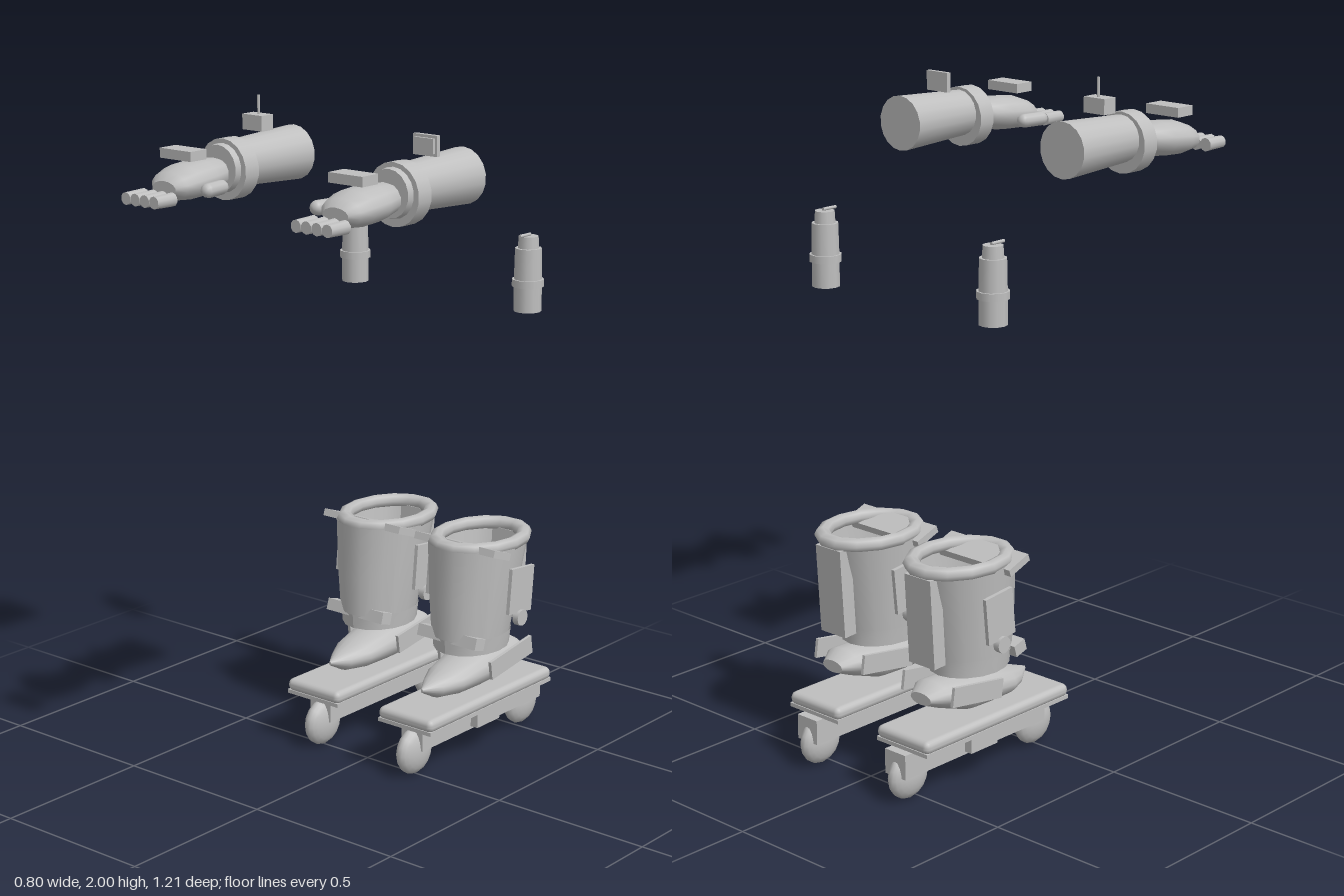
import * as THREE from 'three';
import { RoundedBoxGeometry } from 'three/addons/geometries/RoundedBoxGeometry.js';

const grey = new THREE.MeshStandardMaterial({ color: 0xbfbfbf, side: THREE.DoubleSide });
grey.name = 'plainGrey';

function add(parent, name, geometry, x = 0, y = 0, z = 0, rx = 0, ry = 0, rz = 0) {
  const mesh = new THREE.Mesh(geometry, grey);
  mesh.name = name;
  mesh.position.set(x, y, z);
  mesh.rotation.set(rx, ry, rz);
  parent.add(mesh);
  return mesh;
}

const box = (w, h, d) => new THREE.BoxGeometry(w, h, d);
const cyl = (top, bottom, h, n = 16) => new THREE.CylinderGeometry(top, bottom, h, n);

// Elliptical sections along y: [y, z centre, x radius, z radius], listed upward
function loft(rings, n = 16, open = false, start = 0, arc = Math.PI * 2) {
  const rows = rings.length - 1;
  const g = new THREE.CylinderGeometry(1, 1, 1, n, rows, open, start, arc);
  const p = g.attributes.position;
  for (let i = 0; i < p.count; i++) {
    const [y, c, a, b] = rings[Math.round((p.getY(i) + 0.5) * rows)];
    p.setXYZ(i, p.getX(i) * a, y, c + p.getZ(i) * b);
  }
  g.computeVertexNormals();
  return g;
}

// s is +1 for the model's left, -1 for its right
function makeBoot(s) {
  const boot = new THREE.Group();
  boot.name = s > 0 ? 'leftSkateBoot' : 'rightSkateBoot';
  boot.position.x = 0.18 * s;

  // Wheels, rail and deck
  for (const z of [0, -0.53]) {
    add(boot, 'wheel', new THREE.SphereGeometry(0.073, 16, 12).rotateZ(Math.PI / 2).scale(0.48, 1, 1), 0, 0.073, z);
  }
  add(boot, 'rail', box(0.08, 0.075, 0.59), 0, 0.118, -0.285);
  add(boot, 'motor', box(0.045, 0.045, 0.11), 0.043 * s, 0.112, -0.28);
  add(boot, 'lowerDeck', box(0.2, 0.012, 0.6), 0, 0.161, -0.253);
  add(boot, 'deck', new RoundedBoxGeometry(0.205, 0.04, 0.605, 2, 0.018), 0, 0.182, -0.253);

  // Shoe with a pointed toe and side plates
  add(boot, 'shoe', loft([
    [-0.475, -0.285, 0.04, 0.018], [-0.43, -0.288, 0.07, 0.04], [-0.32, -0.268, 0.083, 0.058],
    [-0.24, -0.265, 0.085, 0.056], [-0.15, -0.252, 0.072, 0.043], [-0.09, -0.245, 0.042, 0.03],
    [-0.036, -0.25, 0.004, 0.006],
  ], 16), 0, 0, 0, Math.PI / 2);
  for (const e of [-1, 1]) {
    add(boot, 'anklePlate', box(0.01, 0.058, 0.205), e * 0.098, 0.292, -0.345, 0.15);
  }

  // Shaft, shin shell, rim and spine
  add(boot, 'ankleBand', loft([[0.335, -0.275, 0.106, 0.128], [0.385, -0.276, 0.111, 0.133]], 16, true));
  const shaft = [[0.38, -0.276, 0.108, 0.13], [0.5, -0.287, 0.121, 0.146], [0.665, -0.308, 0.136, 0.168]];
  add(boot, 'shaft', loft(shaft, 16, true));
  add(boot, 'shinShell', loft(shaft.map(([y, c, a, b]) => [y, c, a + 0.004, b + 0.006]),
    8, true, -Math.PI / 3, Math.PI * 2 / 3));
  add(boot, 'rim', new THREE.TorusGeometry(0.12, 0.021, 8, 14).rotateX(Math.PI / 2).scale(1, 1, 1.28), 0, 0.667, -0.314);
  add(boot, 'spine', box(0.1, 0.27, 0.045), 0, 0.52, -0.455, -0.06);

  // Straps
  add(boot, 'upperStrap', box(0.3, 0.022, 0.085), 0, 0.657, -0.225, -0.35);
  add(boot, 'lowerStrap', box(0.22, 0.036, 0.045), 0, 0.382, -0.175, -0.3);

  // Side guards with knobs
  for (const e of [-1, 1]) {
    add(boot, 'sideGuard', box(0.012, 0.14, 0.11), e * 0.153, 0.53, -0.313, -0.1);
    add(boot, 'knob', cyl(0.025, 0.025, 0.02, 12), e * 0.158, 0.445, -0.307, 0, 0, Math.PI / 2);
  }
  return boot;
}

function makeGauntlet(s) {
  const arm = new THREE.Group();
  arm.name = s > 0 ? 'leftGauntlet' : 'rightGauntlet';
  arm.position.x = 0.313 * s;
  const along = Math.PI / 2;

  // Forearm and cuff
  add(arm, 'forearm', cyl(0.068, 0.081, 0.26, 18), 0, 1.815, 0.092, along);
  add(arm, 'cuff', cyl(0.089, 0.089, 0.055, 18), 0, 1.803, 0.24, along);
  add(arm, 'wrist', cyl(0.068, 0.072, 0.025, 18), 0, 1.808, 0.275, along);

  // Hand, thumb and fingers
  add(arm, 'hand', loft([
    [0.287, -1.8, 0.04, 0.036], [0.31, -1.799, 0.063, 0.044], [0.37, -1.795, 0.08, 0.052],
    [0.44, -1.79, 0.084, 0.05], [0.485, -1.784, 0.07, 0.04], [0.508, -1.78, 0.045, 0.022],
  ], 14), 0, 0, 0, Math.PI / 2);
  add(arm, 'thumb', new THREE.CapsuleGeometry(0.021, 0.065, 4, 10), -0.108 * s, 1.78, 0.418, along, 0, 0.15 * s);
  for (let i = 0; i < 4; i++) {
    add(arm, 'finger', cyl(0.018, 0.02, 0.073, 10), (i - 1.5) * 0.036, 1.76, 0.568, along);
  }
  add(arm, 'knucklePlate', box(0.118, 0.028, 0.065), -0.003 * s, 1.87, 0.432);

  // Wrist devices: an upright screen on the left, a transmitter on the right
  if (s > 0) {
    add(arm, 'screenHousing', box(0.083, 0.058, 0.014), -0.003, 1.92, 0.121);
    add(arm, 'screen', box(0.068, 0.042, 0.008), -0.003, 1.92, 0.132);
  } else {
    add(arm, 'transmitter', box(0.075, 0.045, 0.048), 0.001, 1.922, 0.12);
    add(arm, 'antenna', cyl(0.004, 0.004, 0.056, 8), 0.003, 1.972, 0.117);
  }
  return arm;
}

function makeCanister(s) {
  const can = new THREE.Group();
  can.name = s > 0 ? 'leftCanister' : 'rightCanister';
  can.position.set(0.327 * s, 0, -0.333);
  add(can, 'base', cyl(0.041, 0.041, 0.08, 12), 0, 1.42, 0);
  add(can, 'collar', cyl(0.047, 0.047, 0.022, 12), 0, 1.464, 0);
  add(can, 'body', cyl(0.039, 0.041, 0.092, 12), 0, 1.52, 0);
  add(can, 'cap', cyl(0.029, 0.031, 0.036, 12), 0, 1.583, 0);
  add(can, 'nozzle', cyl(0.005, 0.005, 0.05, 8), 0, 1.605, 0.018, Math.PI / 2);
  return can;
}

export function createModel() {
  const model = new THREE.Group();
  model.name = 'skateGear';
  for (const s of [-1, 1]) model.add(makeBoot(s), makeGauntlet(s), makeCanister(s));
  return model;
}
